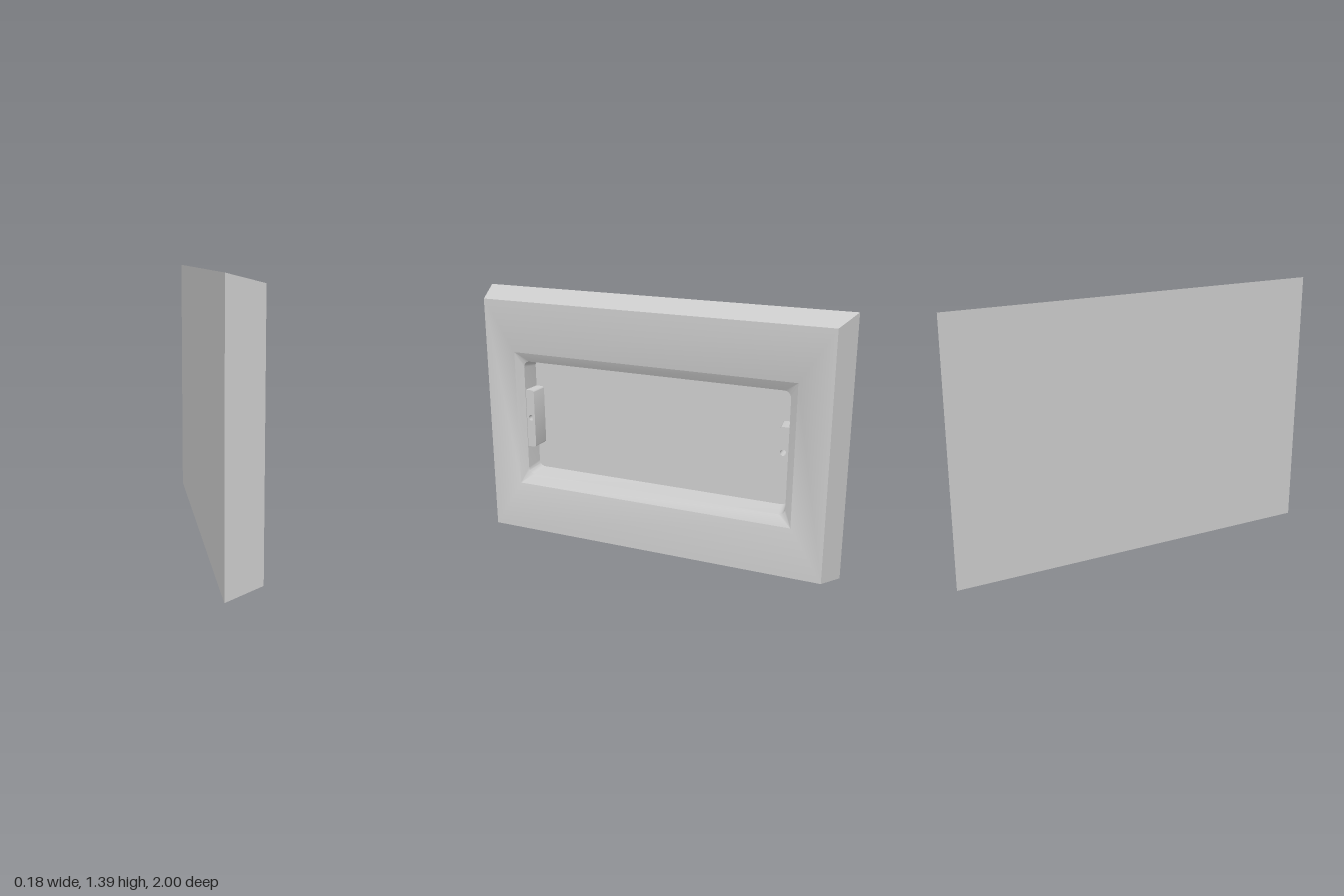
import * as THREE from 'three';
import { toCreasedNormals } from 'three/addons/utils/BufferGeometryUtils.js';

const MID_Y = 0.695;
const FLOOR_X = -0.04;
const RIM_X = 0.06;
const material = new THREE.MeshStandardMaterial({ color: 0xcccccc, side: THREE.DoubleSide });

// Rounded rectangle in the plane at x, counter-clockwise seen from +x
function loop(x, halfZ, halfY, radius = 0, steps = 6) {
  const points = [];
  [[1, 1], [-1, 1], [-1, -1], [1, -1]].forEach(([su, sy], corner) => {
    for (let i = 0; i <= steps; i++) {
      const a = (corner + i / steps) * Math.PI / 2;
      const u = su * (halfZ - radius) + radius * Math.cos(a);
      const v = sy * (halfY - radius) + radius * Math.sin(a);
      points.push(new THREE.Vector3(x, MID_Y + v, -u));
    }
  });
  return points;
}

// Skin successive loops, leaving out collapsed triangles
function loft(loops) {
  const positions = [];
  const triangle = (a, b, c) => {
    if (new THREE.Triangle(a, b, c).getArea() < 1e-9) return;
    for (const p of [a, b, c]) positions.push(p.x, p.y, p.z);
  };
  for (let k = 0; k < loops.length - 1; k++) {
    const a = loops[k], b = loops[k + 1];
    for (let i = 0; i < a.length; i++) {
      const j = (i + 1) % a.length;
      triangle(a[i], a[j], b[j]);
      triangle(a[i], b[j], b[i]);
    }
  }
  const geometry = new THREE.BufferGeometry();
  geometry.setAttribute('position', new THREE.Float32BufferAttribute(positions, 3));
  return toCreasedNormals(geometry, 0.4);
}

// Screw tab on one short wall: rounded inner corners, a screw hole and a drafted inner face
function makeTab(side, halfHeight) {
  const inner = 0.674, outer = 0.733, r = 0.016;
  const shape = new THREE.Shape();
  shape.moveTo(side * outer, -halfHeight);
  shape.lineTo(side * outer, halfHeight);
  shape.lineTo(side * (inner + r), halfHeight);
  shape.quadraticCurveTo(side * inner, halfHeight, side * inner, halfHeight - r);
  shape.lineTo(side * inner, -halfHeight + r);
  shape.quadraticCurveTo(side * inner, -halfHeight, side * (inner + r), -halfHeight);
  shape.closePath();
  const hole = new THREE.Path();
  hole.absarc(side * 0.705, 0.005, 0.016, 0, Math.PI * 2, true);
  shape.holes.push(hole);

  const depth = RIM_X - 0.004 - FLOOR_X;
  const geometry = new THREE.ExtrudeGeometry(shape, { depth, bevelEnabled: false, curveSegments: 8 });
  const pos = geometry.attributes.position;
  for (let i = 0; i < pos.count; i++) {
    if (Math.abs(pos.getX(i)) < inner + r + 0.0001 && pos.getZ(i) > depth / 2) {
      const isEdge = Math.hypot(pos.getX(i) - side * 0.705, pos.getY(i) - 0.005) > 0.02;
      if (isEdge) pos.setX(i, pos.getX(i) + side * 0.009);
    }
  }
  geometry.rotateY(Math.PI / 2);
  geometry.translate(FLOOR_X, MID_Y, 0);
  const mesh = new THREE.Mesh(toCreasedNormals(geometry, 0.6), material);
  mesh.name = side > 0 ? 'rearScrewTab' : 'frontScrewTab';
  return mesh;
}

export function createModel() {
  const group = new THREE.Group();
  group.name = 'recessedPanel';

  // Tapered slab, chamfered opening and recessed pocket as one skin
  const panel = new THREE.Mesh(loft([
    loop(-0.09, 0, 0),
    loop(-0.09, 1, 0.695),
    loop(0.09, 0.94, 0.65),
    loop(0.09, 0.77, 0.375),
    loop(RIM_X, 0.732, 0.323, 0.035),
    loop(FLOOR_X, 0.72, 0.311, 0.035),
    loop(FLOOR_X, 0, 0),
  ]), material);
  panel.name = 'panel';
  group.add(panel);

  group.add(makeTab(-1, 0.162), makeTab(1, 0.138));
  return group;
}
